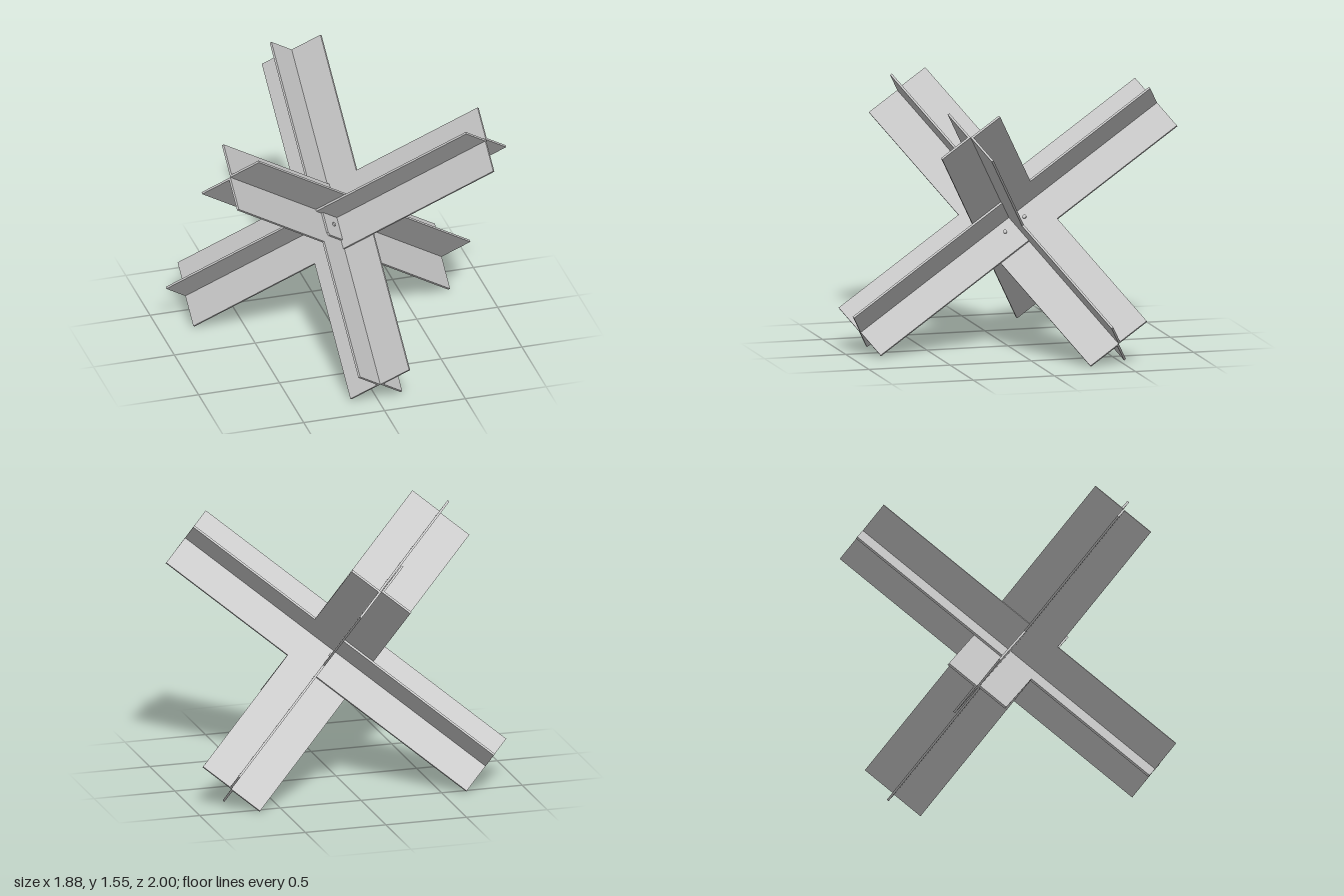
import * as THREE from 'three';

const HALF = 1.118;  // half length of a beam
const W = 0.214;     // flange width
const T = 0.013;     // flange thickness

// L-shaped angle iron running along z, turned about its own spine
function angleIron(turn) {
  const s = new THREE.Shape([[0, 0], [W, 0], [W, T], [T, T], [T, W], [0, W]]
    .map(([x, y]) => new THREE.Vector2(x, y)));
  const g = new THREE.ExtrudeGeometry(s, { depth: 2 * HALF, bevelEnabled: false });
  g.translate(0, 0, -HALF);
  g.rotateZ(turn);
  return g;
}

export function createModel() {
  const model = new THREE.Group();
  model.name = 'antiTankObstacle';
  const steel = new THREE.MeshStandardMaterial({ color: 0xc2c2c2 });
  steel.name = 'steel grey';

  const X = new THREE.Vector3(1, 0, 0);
  const Y = new THREE.Vector3(0, 1, 0);
  const Z = new THREE.Vector3(0, 0, 1);
  const cross = new THREE.Group();
  cross.name = 'crossedBeams';

  // Three perpendicular beams, each two angle irons joined spine to spine
  const beams = [
    ['backBeam', [Y, Z, X], -Math.PI / 2],
    ['rightBeam', [Z, X, Y], 0],
    ['leftBeam', [X, Y, Z], -Math.PI / 2],
  ];
  for (const [name, basis, turn] of beams) {
    const beam = new THREE.Group();
    beam.name = name;
    beam.quaternion.setFromRotationMatrix(new THREE.Matrix4().makeBasis(...basis));
    for (const flip of [0, Math.PI]) {
      const iron = new THREE.Mesh(angleIron(turn + flip), steel);
      iron.name = 'angleIron';
      beam.add(iron);
    }
    cross.add(beam);
  }

  // Square joining plate with clipped corners
  const p = 0.16, k = 0.015;
  const outline = [[p, p - k], [p - k, p], [k - p, p], [-p, p - k],
    [-p, k - p], [k - p, -p], [p - k, -p], [p, k - p]];
  const plate = new THREE.Mesh(new THREE.ExtrudeGeometry(
    new THREE.Shape(outline.map(([x, y]) => new THREE.Vector2(x, y))),
    { depth: T - 0.001, bevelEnabled: false }), steel);
  plate.name = 'joiningPlate';
  cross.add(plate);

  // Four bolt heads on the plate
  for (const sx of [-1, 1]) for (const sy of [-1, 1]) {
    const bolt = new THREE.Mesh(new THREE.CylinderGeometry(0.012, 0.012, 0.016, 12), steel);
    bolt.name = 'boltHead';
    bolt.rotation.x = Math.PI / 2;
    bolt.position.set(sx * 0.073, sy * 0.073, T);
    cross.add(bolt);
  }

  // Stand the cross on three of its beam ends
  const h = Math.sqrt(1 / 3), r = Math.sqrt(2 / 3);
  const dir = (deg) => new THREE.Vector3(
    r * Math.sin(THREE.MathUtils.degToRad(deg)), h, r * Math.cos(THREE.MathUtils.degToRad(deg)));
  cross.quaternion.setFromRotationMatrix(
    new THREE.Matrix4().makeBasis(dir(180), dir(-60), dir(60)));
  cross.position.y = h * (HALF + W + T);
  model.add(cross);
  return model;
}
